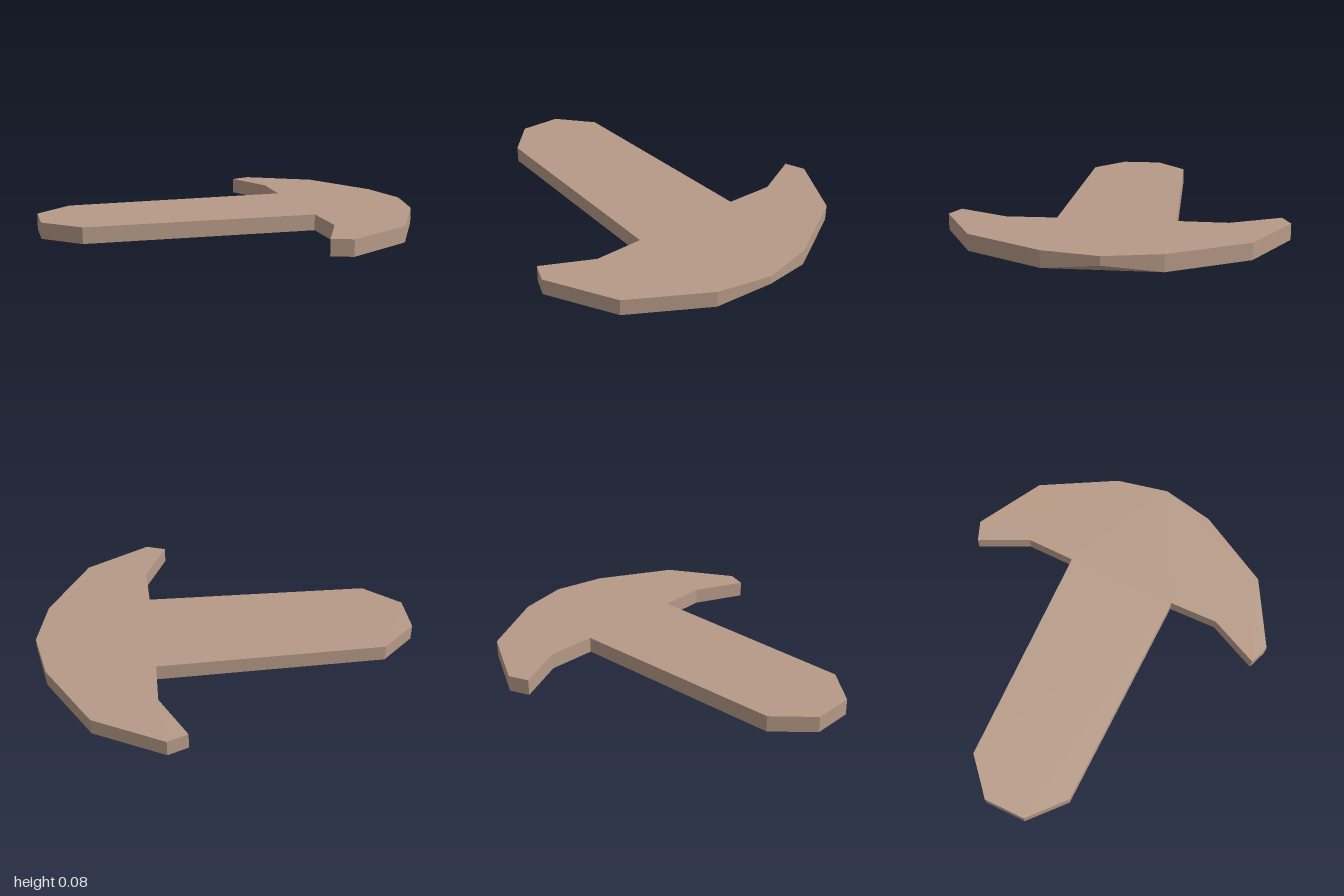
import * as THREE from 'three';

const THICKNESS = 0.084;
const NOSE_LIFT = 0.04; // underside of the nose tip is raised

// One half of the outline as [x, z], from the head to the tail end of the stem
const HALF = [
  [0.94, 0.28], [0.72, 0.67], [0.37, 0.863], [0.265, 0.823],
  [0.39, 0.56], [0.385, 0.3], [-0.815, 0.274], [-1, 0.11],
];

function createPlateGeometry() {
  const mirrored = HALF.map(([x, z]) => [x, -z]).reverse();
  const outline = [[1, 0], ...HALF, ...mirrored].map(([x, z]) => new THREE.Vector2(x, z));
  const positions = [];
  const bottom = (i) => [outline[i].x, i === 0 ? NOSE_LIFT : 0, outline[i].y];
  const top = (i) => [outline[i].x, THICKNESS, outline[i].y];
  const triangle = (a, b, c) => positions.push(...a, ...b, ...c);

  // Flat top
  for (const [a, b, c] of THREE.ShapeUtils.triangulateShape(outline, [])) {
    triangle(top(c), top(b), top(a));
  }

  // Flat underside, then the chamfer below the nose
  for (const [a, b, c] of THREE.ShapeUtils.triangulateShape(outline.slice(1), [])) {
    triangle(bottom(a + 1), bottom(b + 1), bottom(c + 1));
  }
  triangle(bottom(0), bottom(1), bottom(outline.length - 1));

  // Side walls
  for (let i = 0; i < outline.length; i++) {
    const j = (i + 1) % outline.length;
    triangle(bottom(i), top(i), top(j));
    triangle(bottom(i), top(j), bottom(j));
  }

  const geometry = new THREE.BufferGeometry();
  geometry.setAttribute('position', new THREE.Float32BufferAttribute(positions, 3));
  geometry.computeVertexNormals();
  return geometry;
}

export function createModel() {
  const group = new THREE.Group();
  group.name = 'anchorShapedPlate';

  const clay = new THREE.MeshStandardMaterial({ color: 0xb79a87 });
  clay.name = 'clay brown';

  const plate = new THREE.Mesh(createPlateGeometry(), clay);
  plate.name = 'plate';
  group.add(plate);
  return group;
}
